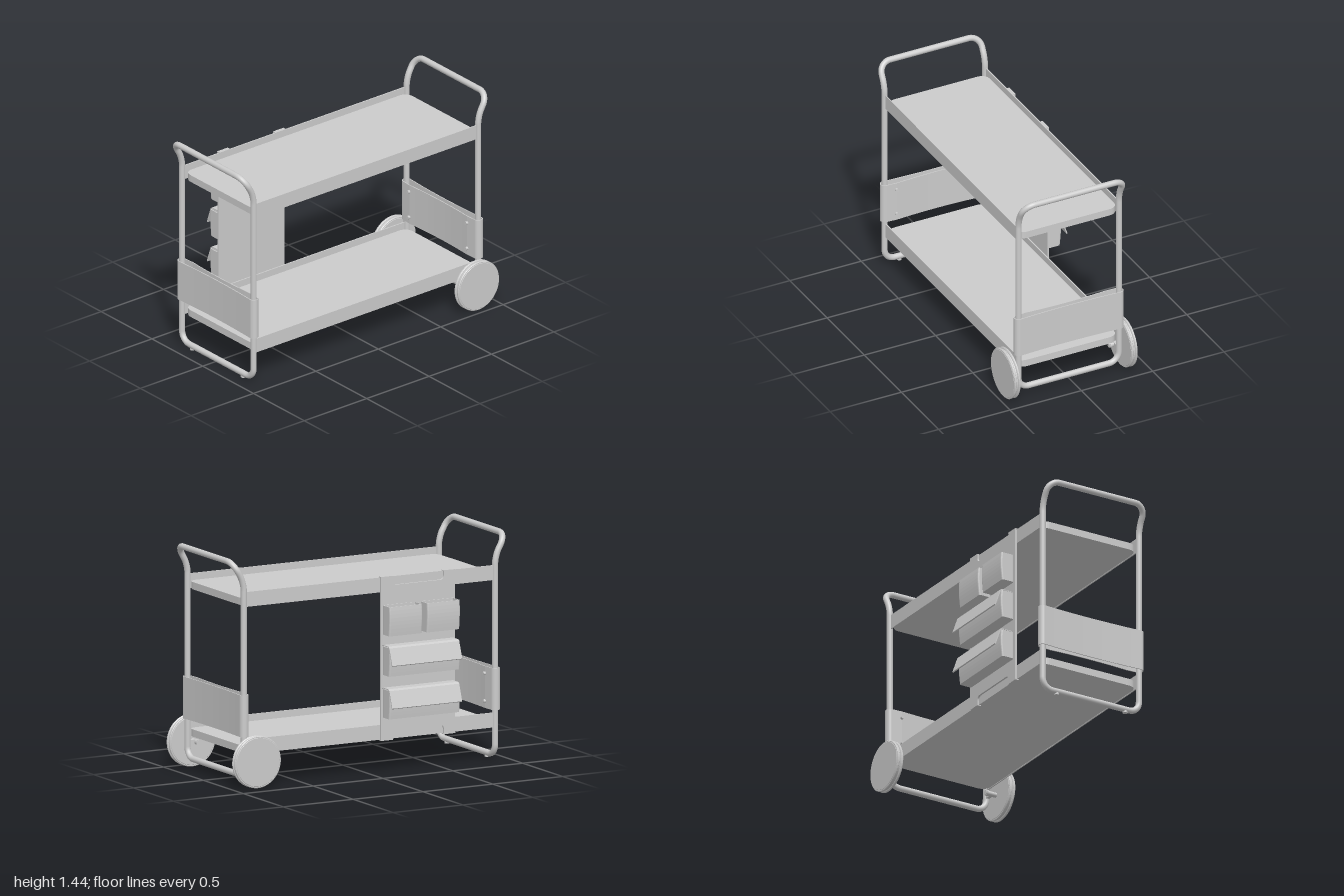
import * as THREE from 'three';

const V = (x, y, z) => new THREE.Vector3(x, y, z);
const material = new THREE.MeshStandardMaterial({ color: 0xcccccc, side: THREE.DoubleSide });
const CX = 0.0335;      // middle of the trolley body
const HALF = 0.352;     // half distance between posts

function add(parent, name, geometry, x = 0, y = 0, z = 0) {
  const mesh = new THREE.Mesh(geometry, material);
  mesh.name = name;
  mesh.position.set(x, y, z);
  parent.add(mesh);
  return mesh;
}

// Closed 3D polygon with rounded corners; each point is [vector, trim length]
function roundedLoop(points) {
  const path = new THREE.CurvePath();
  const n = points.length;
  const toward = (a, b, d) => a.clone().add(b.clone().sub(a).setLength(d));
  for (let i = 0; i < n; i++) {
    const [p, r] = points[i];
    const prev = points[(i + n - 1) % n][0];
    const [next, nr] = points[(i + 1) % n];
    const a = toward(p, prev, r), b = toward(p, next, r);
    const k = 0.55;
    path.add(new THREE.CubicBezierCurve3(a, a.clone().lerp(p, k), b.clone().lerp(p, k), b));
    path.add(new THREE.LineCurve3(b, toward(next, p, nr)));
  }
  return path;
}

function roundedRect(x0, y0, x1, y1, r, Type = THREE.Shape) {
  const s = new Type();
  s.moveTo(x0 + r, y0);
  s.lineTo(x1 - r, y0); s.quadraticCurveTo(x1, y0, x1, y0 + r);
  s.lineTo(x1, y1 - r); s.quadraticCurveTo(x1, y1, x1 - r, y1);
  s.lineTo(x0 + r, y1); s.quadraticCurveTo(x0, y1, x0, y1 - r);
  s.lineTo(x0, y0 + r); s.quadraticCurveTo(x0, y0, x0 + r, y0);
  return s;
}

// Extrude an (x, z) outline upward from y0 to y1
function extrudeUp(shape, y0, y1, steps = 1) {
  return new THREE.ExtrudeGeometry(shape, { depth: y1 - y0, steps, bevelEnabled: false, curveSegments: 10 })
    .rotateX(Math.PI / 2).translate(0, y1, 0);
}

// Outline of the band: wraps both posts, strands bow together in the middle
function bandOutline(r, bow, Type) {
  const s = new Type(), inner = -r - 0.004;
  s.moveTo(-HALF, r);
  s.quadraticCurveTo(0, r - 2 * bow, HALF, r);
  s.absarc(HALF, 0, r, Math.PI / 2, -Math.PI / 2, true);
  s.lineTo(HALF - 0.07, inner);
  s.quadraticCurveTo(0, inner + 0.02, -HALF + 0.07, inner);
  s.lineTo(-HALF, -r);
  s.absarc(-HALF, 0, r, -Math.PI / 2, -Math.PI * 1.5, true);
  return s;
}

// One end: tube loop with outward-bent handle, wrapped band and screws
function makeEnd(name, bottomY) {
  const end = new THREE.Group();
  end.name = name;
  const h = HALF, bend = 1.29, top = 1.425, out = 0.075;
  const loop = roundedLoop([
    [V(-h, bottomY, 0), 0.07], [V(h, bottomY, 0), 0.07],
    [V(h, bend, 0), 0.05], [V(h, top, out), 0.075],
    [V(-h, top, out), 0.075], [V(-h, bend, 0), 0.05],
  ]);
  add(end, 'tubeFrame', new THREE.TubeGeometry(loop, 300, 0.0195, 14, true));
  const band = bandOutline(0.0295, 0.011, THREE.Shape);
  band.holes.push(bandOutline(0.0235, 0.011, THREE.Path));
  add(end, 'wrapBand', extrudeUp(band, 0.32, 0.585));
  for (const x of [-0.285, 0.285]) for (const y of [0.365, 0.54]) {
    add(end, 'bandScrew', new THREE.CylinderGeometry(0.011, 0.011, 0.02, 14).rotateX(Math.PI / 2), x, y, -0.038);
  }
  return end;
}

// Shelf: rounded board with a taller rail along each long side
function makeShelf(name, y) {
  const shelf = new THREE.Group();
  shelf.name = name;
  add(shelf, 'board', extrudeUp(roundedRect(-0.315, -0.89, 0.382, 0.89, 0.065), y + 0.004, y + 0.05));
  for (const x of [CX - HALF, CX + HALF]) {
    add(shelf, 'sideRail', new THREE.BoxGeometry(0.008, 0.094, 1.765), x, y + 0.047, 0.007);
  }
  return shelf;
}

// Open pocket hanging on the outer face, with a bulging front
function makePocket(name, z0, z1, y0, y1) {
  const pocket = new THREE.Group();
  pocket.name = name;
  const back = -0.336, front = -0.42, t = 0.006;
  const walls = roundedRect(front, z0, back, z1, 0.012);
  walls.holes.push(roundedRect(front + t, z0 + t, back - t, z1 - t, 0.008, THREE.Path));
  const g = extrudeUp(walls, y0, y1, 8);
  const p = g.attributes.position;
  for (let i = 0; i < p.count; i++) {
    if (p.getX(i) > -0.39) continue;
    const f = (p.getY(i) - y0) / (y1 - y0);
    p.setX(i, p.getX(i) - 0.009 * Math.sin(Math.PI * 0.8 * f));
  }
  g.computeVertexNormals();
  add(pocket, 'walls', g);
  add(pocket, 'bottom', extrudeUp(roundedRect(front, z0, back, z1, 0.012), y0, y0 + t));
  return pocket;
}

function makeOrganizer() {
  const g = new THREE.Group();
  g.name = 'sideOrganizer';
  // Back sheet with a rounded notch between the hooks, top and bottom
  const z0 = 0.08, z1 = 0.61, a = 0.165, b = 0.53, lo = 0.206, hi = 1.236, d = 0.055, r = 0.03;
  const s = new THREE.Shape();
  s.moveTo(z0, lo); s.lineTo(a, lo);
  s.lineTo(a, lo + d - r); s.quadraticCurveTo(a, lo + d, a + r, lo + d);
  s.lineTo(b - r, lo + d); s.quadraticCurveTo(b, lo + d, b, lo + d - r);
  s.lineTo(b, lo); s.lineTo(z1, lo); s.lineTo(z1, hi); s.lineTo(b, hi);
  s.lineTo(b, hi - d + r); s.quadraticCurveTo(b, hi - d, b - r, hi - d);
  s.lineTo(a + r, hi - d); s.quadraticCurveTo(a, hi - d, a, hi - d + r);
  s.lineTo(a, hi); s.lineTo(z0, hi);
  const sheet = new THREE.ExtrudeGeometry(s, { depth: 0.012, bevelEnabled: false }).rotateY(-Math.PI / 2);
  add(g, 'backSheet', sheet, -0.324);
  for (const z of [(z0 + a) / 2, (b + z1) / 2]) for (const y of [lo - 0.002, hi]) {
    add(g, 'railHook', new THREE.BoxGeometry(0.026, 0.006, 0.085), -0.323, y, z);
  }
  g.add(makePocket('smallPocket', 0.09, 0.325, 0.875, 1.06));
  g.add(makePocket('smallPocket', 0.36, 0.595, 0.875, 1.06));
  for (const y of [0.62, 0.35]) {
    g.add(makePocket('widePocket', 0.09, 0.595, y, y + 0.18));
    // Folded lid over the wide pocket
    const line = [[-0.335, 0.183], [-0.355, 0.192], [-0.418, 0.192], [-0.432, 0.182], [-0.469, 0.077]];
    const lid = new THREE.Shape([...line, ...line.slice().reverse().map(([u, v]) => [u + 0.006, v - 0.005])]
      .map(([u, v]) => new THREE.Vector2(u, v)));
    add(g, 'pocketLid', new THREE.ExtrudeGeometry(lid, { depth: 0.5, bevelEnabled: false }), 0, y, 0.085);
  }
  return g;
}

// Wheel with twin rims, axle stub and mount on the rear post
function makeWheel(side) {
  const g = new THREE.Group();
  g.name = side < 0 ? 'rightWheel' : 'leftWheel';
  const R = 0.165, w = 0.0225;
  const half = [[0, w], [R - 0.012, w], [R - 0.01, w - 0.002], [R - 0.004, w - 0.002],
    [R, w - 0.006], [R, 0.01], [R - 0.005, 0.006], [R - 0.01, 0.005]];
  const profile = [...half, ...half.slice().reverse().map(([r, h]) => [r, -h])]
    .reverse().map(([r, h]) => new THREE.Vector2(r, h));
  const wheelX = CX + side * 0.41, y = 0.165, z = -0.835;
  const disc = new THREE.LatheGeometry(profile, 56).toNonIndexed();
  disc.computeVertexNormals();
  add(g, 'disc', disc.rotateZ(Math.PI / 2), wheelX, y, z);
  add(g, 'axle', new THREE.CylinderGeometry(0.016, 0.016, 0.085, 18).rotateZ(Math.PI / 2), CX + side * 0.352, y, z);
  add(g, 'axleCap', new THREE.CylinderGeometry(0.02, 0.02, 0.012, 18).rotateZ(Math.PI / 2), CX + side * 0.32, y, z);
  add(g, 'axleMount', new THREE.BoxGeometry(0.022, 0.03, 0.06), CX + side * HALF, y, -0.865);
  return g;
}

export function createModel() {
  const model = new THREE.Group();
  model.name = 'servingTrolley';

  const front = makeEnd('frontEnd', 0.031);
  front.position.set(CX, 0, 0.906);
  const back = makeEnd('backEnd', 0.071);
  back.position.set(CX, 0, -0.893);
  back.rotation.y = Math.PI;
  model.add(front, back);

  model.add(makeShelf('topShelf', 1.14), makeShelf('bottomShelf', 0.207));
  model.add(makeOrganizer());
  for (const side of [-1, 1]) {
    model.add(makeWheel(side));
    add(model, 'foot', new THREE.CylinderGeometry(0.016, 0.016, 0.014, 16), CX + side * 0.25, 0.012, 0.906);
  }
  return model;
}
